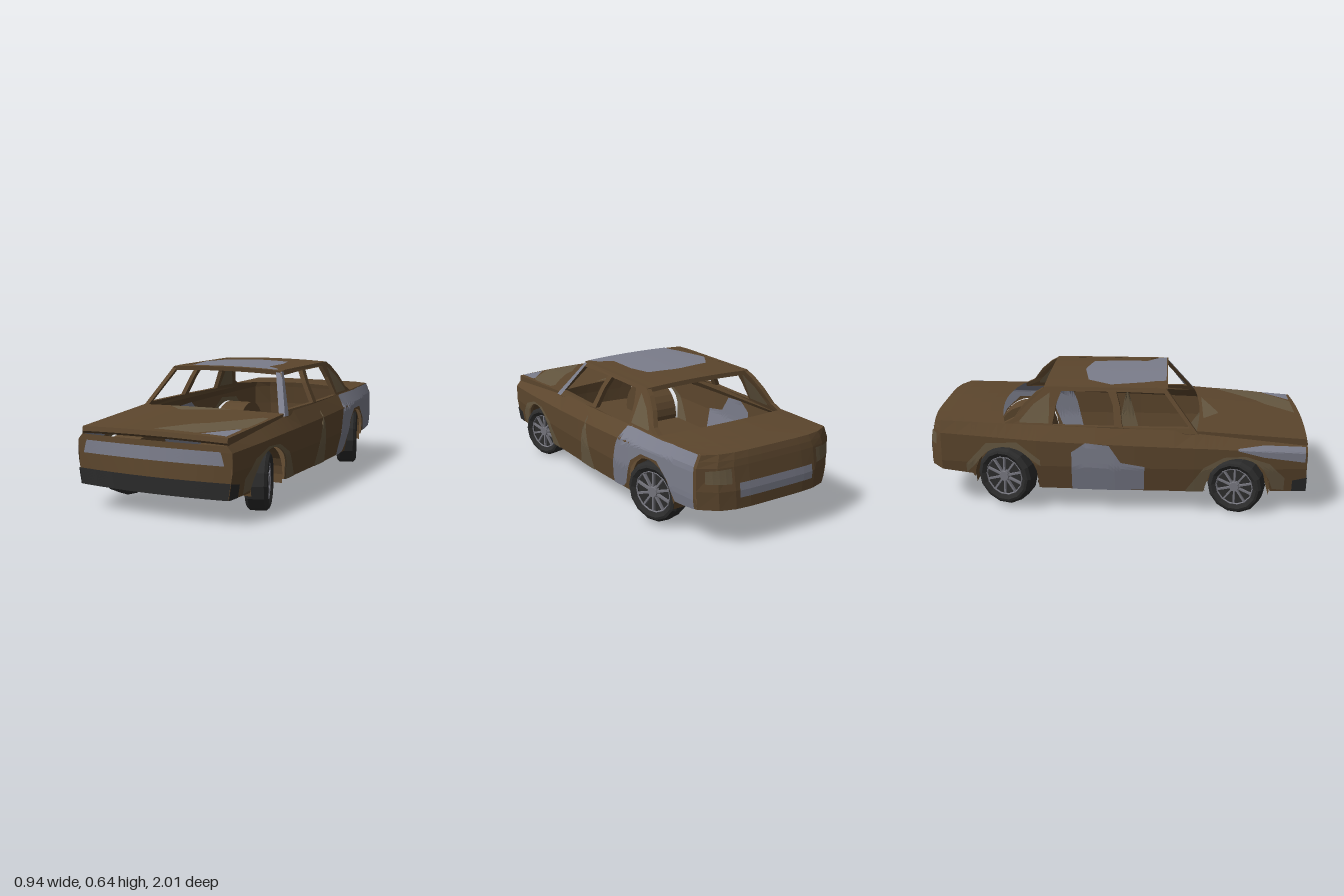
import * as THREE from 'three';

const paint = (color) => new THREE.MeshStandardMaterial({ color, flatShading: true, side: THREE.DoubleSide });
const BROWN = paint(0x5c462d), SILVER = paint(0x7b7d8b), OLIVE = paint(0x665841);
const DARK = paint(0x2b2b2b), RIM = paint(0x74747c);

// Piecewise-linear curve through [key, value] points with rising keys
const curve = (pts) => (k) => {
  if (k <= pts[0][0]) return pts[0][1];
  for (let i = 1; i < pts.length; i++) {
    const [a, va] = pts[i - 1], [b, vb] = pts[i];
    if (k <= b) return va + (vb - va) * (k - a) / (b - a);
  }
  return pts[pts.length - 1][1];
};

// Sheet through rows of points
function loft(rows) {
  const n = rows[0].length, index = [];
  for (let i = 0; i < rows.length - 1; i++) for (let j = 0; j < n - 1; j++) {
    const a = i * n + j;
    index.push(a, a + 1, a + n, a + 1, a + n + 1, a + n);
  }
  const g = new THREE.BufferGeometry();
  g.setAttribute('position', new THREE.Float32BufferAttribute(rows.flat(2), 3));
  g.setIndex(index);
  const flat = g.toNonIndexed();
  flat.computeVertexNormals();
  return flat;
}

const steps = (a, b, n) => Array.from({ length: n + 1 }, (_, i) => a + (b - a) * i / n);
const US = steps(-1, 1, 10);

// Body lines along z: half width, belt half width, crease, belt and sill heights
const width = curve([[-0.9, 0.395], [-0.6, 0.425], [-0.4, 0.445], [0, 0.458], [0.4, 0.455], [0.7, 0.44], [0.97, 0.415]]);
const beltX = curve([[-0.9, 0.37], [-0.5, 0.39], [0, 0.41], [0.4, 0.405], [0.97, 0.39]]);
const crease = curve([[-0.9, 0.4], [-0.3, 0.38], [0.45, 0.36], [0.97, 0.335]]);
const belt = curve([[-0.9, 0.46], [-0.3, 0.45], [0.3, 0.44], [0.4, 0.425], [0.97, 0.365]]);
const sill = curve([[-0.9, 0.2], [-0.74, 0.185], [-0.7, 0.122], [0.97, 0.122]]);
const sideX = (z, y) => curve([[0.12, 0.95 * width(z)], [0.25, width(z)], [crease(z), width(z)], [belt(z), beltX(z)]])(y);

const ARCH = 0.165;
const AXLES = [
  { name: 'front', z: 0.622, y: 0.144, r: 0.142 },
  { name: 'rear', z: -0.56, y: 0.178, r: 0.152 },
];
const archAt = (z) => AXLES.find((a) => Math.abs(z - a.z) <= ARCH + 1e-6);
const bottom = (z) => {
  const a = archAt(z);
  return a ? a.y + Math.sqrt(Math.max(0, ARCH ** 2 - (z - a.z) ** 2)) : sill(z);
};
const ZS = [0.97, 0.9, 0.4, 0.3, 0.1, -0.1, -0.3, -0.74, -0.82, -0.9];
for (const a of AXLES) {
  for (const t of steps(0, Math.PI, 12)) ZS.push(a.z + ARCH * Math.cos(t));
  ZS.push(a.z + ARCH + 0.004, a.z - ARCH - 0.004);
}
ZS.sort((a, b) => b - a);

// Surface maps; the last argument lifts a point off the surface
const side = (s) => (z, y, off = 0) => {
  const h = Math.max(y, bottom(z));
  return [s * (sideX(z, h) + off), h, z];
};
const nose = (u, y, off = 0) => [u * sideX(0.97, y), y, 0.97 + (0.03 - Math.max(0, y - 0.2) * 0.08) * (1 - u * u) + off];
const tailDepth = curve([[0.2, 0.1], [0.29, 0.098], [0.42, 0.072], [0.46, 0.055]]);
const tail = (u, y, off = 0) => [u * sideX(-0.9, y), y, -0.9 - tailDepth(y) * (1 - Math.abs(u) ** 5) - off];
const hoodTop = (z, x, off = 0) => [x, 0.437 - (z - 0.42) * 0.07 + 0.01 * (1 - (x / 0.4) ** 2) + off, z];
const roofTop = (z, x, off = 0) => [x, 0.64 - 0.09 * x * x + off, z];

export function createModel() {
  const car = new THREE.Group();
  car.name = 'car';
  const add = (name, geometry, material, parent = car) => {
    const m = new THREE.Mesh(geometry, material);
    m.name = name;
    parent.add(m);
    return m;
  };
  // Painted area from [station, low, high] strips laid on a surface map
  const patch = (name, material, map, strips, lifts = [0.004]) => {
    const lo = curve(strips.map((p) => [p[0], p[1]])), hi = curve(strips.map((p) => [p[0], p[2]]));
    const st = strips.flatMap((p, i) => (i ? steps(strips[i - 1][0], p[0], 4).slice(1) : [p[0]]));
    for (const off of lifts) add(name, loft(st.map((s) => steps(lo(s), hi(s), 10).map((v) => map(s, v, off)))), material);
  };

  // Shell: flanks, nose, tail, floor
  for (const s of [1, -1]) {
    add('sidePanel', loft(ZS.map((z) => {
      const b = bottom(z);
      return [b, Math.max(b, 0.25), crease(z), belt(z)].map((y) => side(s)(z, y));
    })), BROWN);
  }
  add('nosePanel', loft([0.122, 0.2, 0.335, 0.365].map((y) => US.map((u) => nose(u, y)))), BROWN);
  add('tailPanel', loft([0.2, 0.29, 0.4, 0.43, 0.46].map((y) => US.map((u) => tail(u, y)))), BROWN);
  add('floor', loft([
    US.map((u) => nose(u, 0.122)),
    ...ZS.map((z) => US.map((u) => [u * (archAt(z) ? 0.26 : sideX(z, sill(z))), sill(z), z])),
    US.map((u) => tail(u, 0.2)),
  ]), BROWN);

  // Hood slab with turned-down edges
  const hoodRow = (z, drop) => {
    const edge = beltX(z);
    const p = US.map((u) => hoodTop(z + 0.025 * (1 - u * u) * (z < 0.5 ? 1 : 0.6), u * edge, -drop));
    return [[-edge, belt(z) - 0.004, z], ...p, [edge, belt(z) - 0.004, z]];
  };
  add('hood', loft([...steps(0.41, 0.965, 5).map((z) => hoodRow(z, 0)), hoodRow(0.97, 0.022), hoodRow(0.95, 0.036)]), BROWN);

  // Trunk lid
  add('trunkLid', loft(steps(0, 1, 5).map((k) => US.map((u) => {
    const end = tail(u, 0.46), z0 = -0.62 + 0.055 * u * u, z = z0 + (end[2] - z0) * k;
    return [u * beltX(z), belt(z) + 0.016 * (1 - u * u) * (1 - k * k), z];
  }))), BROWN);

  // Roof slab
  const roofRow = (z, drop) => US.map((u) => roofTop(z, u * 0.313, -drop));
  add('roof', loft([
    ...steps(0.262, -0.37, 4).map((z) => roofRow(z, 0)),
    ...steps(-0.375, 0.258, 4).map((z) => roofRow(z, 0.022)), roofRow(0.262, 0),
  ]), BROWN);

  // Window frames with pillars
  const cabinX = (z, y) => beltX(z) + (0.315 - beltX(z)) * (y - 0.44) / 0.193;
  const points = (list) => list.map(([z, y]) => new THREE.Vector2(z, y));
  for (const s of [1, -1]) {
    const shape = new THREE.Shape(points([[0.42, 0.42], [0.255, 0.628], [0.2, 0.633], [-0.36, 0.633], [-0.41, 0.605], [-0.47, 0.55], [-0.52, 0.48], [-0.57, 0.455], [-0.57, 0.435]]));
    shape.holes.push(
      new THREE.Path(points([[0.375, 0.45], [0.245, 0.608], [0, 0.614], [0.02, 0.55], [0.035, 0.45]])),
      new THREE.Path(points([[-0.005, 0.45], [-0.015, 0.55], [-0.042, 0.614], [-0.28, 0.614], [-0.305, 0.55], [-0.322, 0.45]])));
    const g = new THREE.ExtrudeGeometry(shape, { depth: 0.025, bevelEnabled: false });
    const p = g.attributes.position;
    for (let i = 0; i < p.count; i++) {
      const z = p.getX(i), y = p.getY(i);
      p.setXYZ(i, s * (cabinX(z, y) - p.getZ(i)), y, z);
    }
    g.computeVertexNormals();
    add('windowFrame', g, BROWN);
    const frame = (z, y, off) => [s * (cabinX(z, y) + off), y, z];
    patch('rearPillarPaint', OLIVE, frame, [[-0.49, 0.46, 0.47], [-0.42, 0.46, 0.55], [-0.34, 0.46, 0.605]], [0.003, -0.028]);
  }
  const pillar = (z, y, off) => [cabinX(z, y) + off, y, z];
  add('windshieldPillarPaint', loft([[0.418, 0.375, 0.425], [0.255, 0.232, 0.627]].map(([a, b, y]) =>
    [[cabinX(a, y) - 0.028, y, a + 0.003], pillar(a, y, 0.003), pillar(b, y, 0.003)])), SILVER);

  // Bumper, grille, plate and tail lamps
  patch('frontBumper', DARK, nose, [[-1, 0.122, 0.2], [0, 0.122, 0.2], [1, 0.122, 0.2]]);
  for (const s of [1, -1]) {
    patch('bumperEnd', DARK, side(s), [[0.9, 0.122, 0.185], [0.974, 0.122, 0.2]]);
    const lamp = [[0.64, 0.325, 0.395], [0.93, 0.33, 0.39]].map(([u, a, b]) => [s * u, a, b]);
    patch('tailLamp', OLIVE, tail, s > 0 ? lamp : lamp.reverse());
  }
  patch('grille', SILVER, nose, [[-0.91, 0.276, 0.278], [-0.87, 0.276, 0.338], [0, 0.276, 0.338], [0.87, 0.276, 0.338], [0.91, 0.276, 0.278]]);
  patch('numberPlate', SILVER, tail, [[-0.55, 0.255, 0.325], [0, 0.255, 0.325], [0.55, 0.255, 0.325]]);

  // Camouflage paint
  const both = [0.004, -0.004];
  patch('rearFenderPaint', SILVER, side(1), [[-0.885, 0.19, 0.46], [-0.745, 0.19, 0.455], [-0.7, 0.28, 0.455], [-0.62, 0.355, 0.45],
    [-0.5, 0.355, 0.45], [-0.42, 0.3, 0.45], [-0.36, 0.16, 0.45], [-0.33, 0.13, 0.445], [-0.28, 0.122, 0.33], [-0.24, 0.122, 0.16]], both);
  patch('doorPaint', OLIVE, side(1), [[-0.04, 0.122, 0.13], [0.02, 0.122, 0.41], [0.1, 0.122, 0.13]], both);
  patch('doorPaint', SILVER, side(-1), [[-0.22, 0.122, 0.33], [-0.15, 0.122, 0.38], [-0.03, 0.122, 0.37], [0.03, 0.122, 0.28], [0.15, 0.13, 0.26]], both);
  patch('frontFenderPaint', SILVER, side(-1), [[0.62, 0.35, 0.36], [0.75, 0.315, 0.372], [0.96, 0.285, 0.362]], both);
  patch('rearFenderPaint', OLIVE, side(-1), [[-0.77, 0.19, 0.24], [-0.66, 0.3, 0.36], [-0.5, 0.33, 0.37], [-0.38, 0.25, 0.28]], both);
  for (const s of [1, -1]) {
    patch('frontFenderPaint', OLIVE, side(s), [[0.36, 0.122, 0.13], [0.45, 0.122, 0.26], [0.55, 0.28, 0.315], [0.66, 0.28, 0.32], [0.78, 0.14, 0.28], [0.86, 0.13, 0.2]], both);
  }
  patch('roofPaint', SILVER, roofTop, [[-0.18, -0.02, 0.02], [-0.15, -0.2, 0.17], [-0.03, -0.275, 0.2], [0.15, -0.23, 0.2], [0.2, -0.21, 0.27], [0.255, -0.2, 0.3]]);
  patch('hoodPaint', OLIVE, hoodTop, [[0.55, 0.36, 0.39], [0.65, 0.28, 0.39], [0.76, 0.18, 0.385], [0.8, 0.12, 0.37], [0.95, 0, 0.22]]);
  patch('hoodPaint', SILVER, hoodTop, [[0.81, 0.365, 0.378], [0.95, 0.25, 0.375]]);
  patch('hoodPaint', OLIVE, hoodTop, [[0.45, -0.22, 0.15], [0.53, -0.12, -0.1]]);

  // Wheel wells and toed-out wheels
  const tyre = points([[0.098, 0.042], [0.118, 0.056], [0.13, 0.052], [0.142, 0.038], [0.142, -0.038], [0.13, -0.052], [0.118, -0.056], [0.098, -0.042]]);
  for (const a of AXLES) for (const s of [1, -1]) {
    const arc = steps(-0.25, Math.PI + 0.25, 14).map((t) => [a.y + ARCH * Math.sin(t), a.z + ARCH * Math.cos(t)]);
    add('wheelWell', loft([
      arc.map(([y, z]) => [s * Math.min(0.42, width(z) - 0.02), y, z]),
      arc.map(([y, z]) => [s * 0.26, y, z]),
      arc.map(() => [s * 0.26, a.y, a.z]),
    ]), BROWN);

    const wheel = new THREE.Group();
    wheel.name = a.name + (s > 0 ? 'LeftWheel' : 'RightWheel');
    wheel.position.set(s * 0.375, a.y, a.z);
    wheel.rotation.y = s > 0 ? 0.33 : Math.PI - 0.33;
    wheel.scale.set(1, a.r / 0.142, a.r / 0.142);
    car.add(wheel);
    const axial = (name, g, m, x) => { add(name, g.rotateZ(-Math.PI / 2), m, wheel).position.x = x; };
    axial('tyre', new THREE.LatheGeometry(tyre, 14), DARK, 0);
    axial('rimBack', new THREE.CylinderGeometry(0.1, 0.1, 0.05, 14), DARK, 0);
    axial('hub', new THREE.CylinderGeometry(0.024, 0.03, 0.02, 10), RIM, 0.038);
    add('rimRing', new THREE.TorusGeometry(0.096, 0.005, 4, 14).rotateY(Math.PI / 2), RIM, wheel).position.x = 0.04;
    for (let i = 0; i < 10; i++) {
      add('spoke', new THREE.BoxGeometry(0.014, 0.078, 0.009).translate(0.036, 0.057, 0), RIM, wheel).rotation.x = i * Math.PI / 5;
    }
  }
  return car;
}
